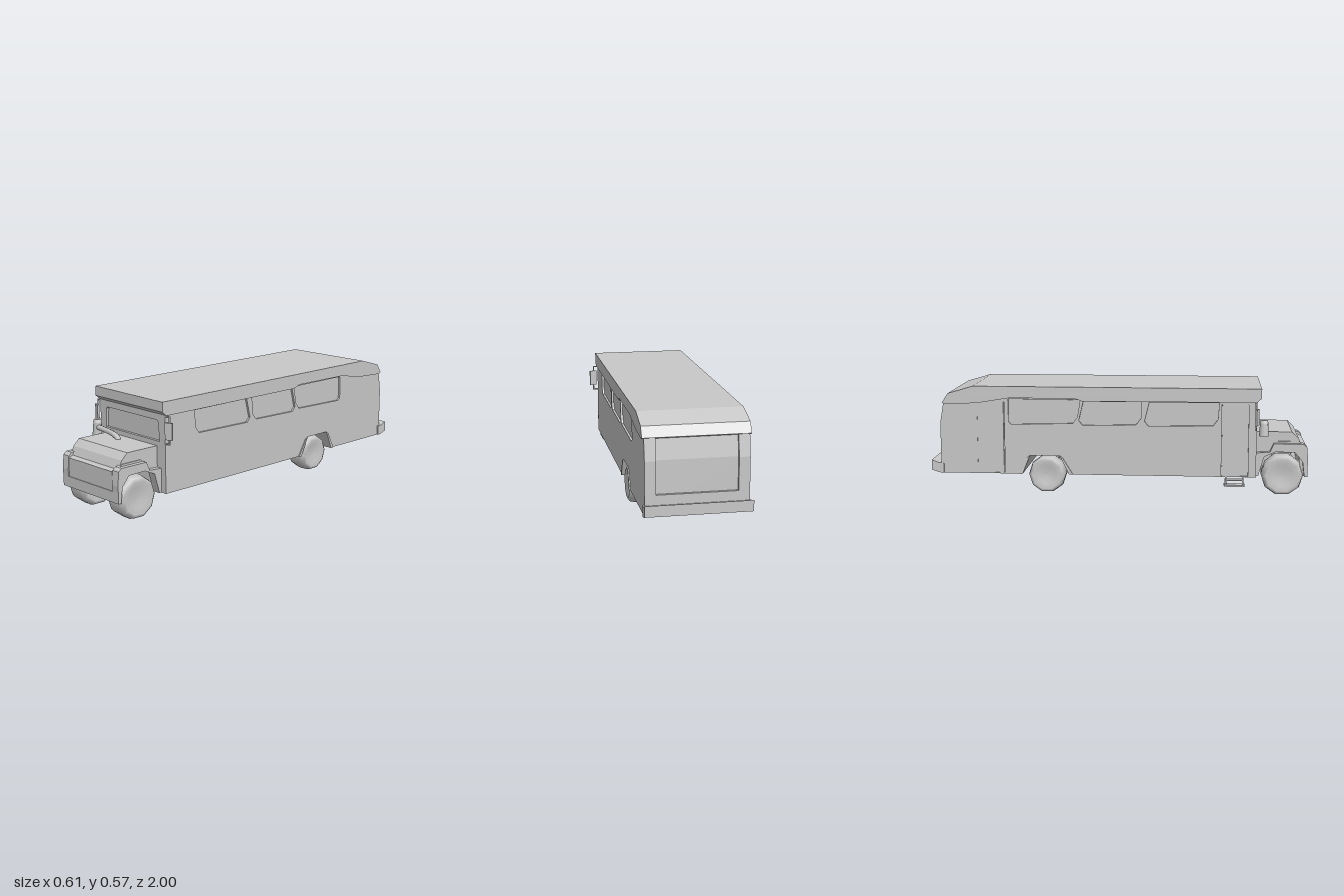
import * as THREE from 'three';

const grey = new THREE.MeshStandardMaterial({ color: 0xc8c8c8 });
grey.name = 'body grey';
const CX = 0.009; // the body's own centre line

export function createModel() {
  const model = new THREE.Group();
  model.name = 'bus';

  const add = (name, geometry, x = 0, y = 0, z = 0) => {
    const mesh = new THREE.Mesh(geometry, grey);
    mesh.name = name;
    mesh.position.set(x, y, z);
    model.add(mesh);
    return mesh;
  };
  const toShape = (pts) => new THREE.Shape(pts.map((p) => new THREE.Vector2(...p)));
  // extrudes a side profile of [z, y] points from x0 to x1
  const side = (name, pts, x0, x1, holes = []) => {
    const shape = toShape(pts);
    shape.holes = holes.map(toShape);
    const g = new THREE.ExtrudeGeometry(shape, { depth: x1 - x0, bevelEnabled: false });
    g.rotateY(-Math.PI / 2);
    g.translate(x1, 0, 0);
    return add(name, g);
  };
  const box = (name, x0, x1, y0, y1, z0, z1) => add(name,
    new THREE.BoxGeometry(x1 - x0, y1 - y0, z1 - z0), (x0 + x1) / 2, (y0 + y1) / 2, (z0 + z1) / 2);
  // round bar between two points
  const bar = (name, a, b, r, sides = 8) => {
    const p = new THREE.Vector3(...a), q = new THREE.Vector3(...b);
    const d = q.clone().sub(p);
    const m = add(name, new THREE.CylinderGeometry(r, r, d.length(), sides));
    m.position.copy(p.add(q).multiplyScalar(0.5));
    m.quaternion.setFromUnitVectors(new THREE.Vector3(0, 1, 0), d.normalize());
    return m;
  };

  // body core with the rear wheel arch cut across it
  const arch = [[-0.51, 0.11], [-0.47, 0.21], [-0.31, 0.21], [-0.26, 0.11]];
  side('bodyCore', [[-0.935, 0.11], ...arch, [0.712, 0.11], [0.712, 0.51],
    [-0.7, 0.51], [-0.915, 0.495], [-0.935, 0.38]], -0.234, 0.252);

  // side skins with window and door openings
  const skin = [[-0.95, 0.11], ...arch, [0.727, 0.11], [0.727, 0.515], [-0.2, 0.52],
    [-0.6, 0.52], [-0.75, 0.5], [-0.93, 0.495], [-0.95, 0.38]];
  const pane = (front, back, top) => [[front, top], [front - 0.005, 0.415], [front - 0.03, 0.382],
    [back + 0.02, 0.376], [back, 0.4], [back + 0.025, top]];
  const windows = [pane(0.53, 0.14, 0.503), pane(0.125, -0.208, 0.503),
    [[-0.2, 0.512], [-0.215, 0.42], [-0.24, 0.385], [-0.57, 0.377], [-0.583, 0.39], [-0.583, 0.512]]];
  const doorway = (z0, z1) => [[z0, 0.115], [z1, 0.115], [z1, 0.495], [z0, 0.495]];
  side('leftWall', skin, 0.252, 0.263, windows);
  side('rightWall', skin, -0.245, -0.234, [...windows, doorway(0.545, 0.685), doorway(-0.75, -0.605)]);
  box('frontDoorPanel', -0.24, -0.234, 0.115, 0.495, 0.548, 0.682);
  box('rearDoorPanel', -0.243, -0.234, 0.115, 0.495, -0.75, -0.61);

  // flared lips around the rear arches
  const lip = [[-0.53, 0.11], [-0.485, 0.2], [-0.47, 0.21], [-0.51, 0.11]];
  const lipFront = [[-0.24, 0.11], [-0.295, 0.2], [-0.31, 0.21], [-0.26, 0.11]];
  for (const [x0, x1] of [[-0.251, -0.245], [0.263, 0.269]]) {
    side('archLip', lip, x0, x1);
    side('archLip', lipFront, x0, x1);
  }

  // front wall around the windscreen
  const front = toShape([[-0.245, 0.11], [0.263, 0.11], [0.263, 0.515], [-0.245, 0.515]]);
  front.holes.push(toShape([[-0.202, 0.37], [0.22, 0.37], [0.212, 0.465], [0.205, 0.476],
    [-0.188, 0.476], [-0.196, 0.465]]));
  add('frontWall', new THREE.ExtrudeGeometry(front, { depth: 0.015, bevelEnabled: false }), 0, 0, 0.712);

  // rear wall frame
  const post = [[-0.935, 0.11], [-0.95, 0.11], [-0.95, 0.38], [-0.93, 0.495], [-0.91, 0.495], [-0.935, 0.38]];
  side('rearPost', post, -0.234, -0.19);
  side('rearPost', post, 0.208, 0.252);
  box('rearSill', -0.19, 0.208, 0.11, 0.215, -0.95, -0.935);
  side('rearBumper', [[-0.935, 0.11], [-0.935, 0.165], [-0.96, 0.165], [-1, 0.18], [-1, 0.125], [-0.95, 0.11]],
    -0.253, 0.271);

  // overhanging roof with a sloped tail
  side('roof', [[0.75, 0.58], [-0.77, 0.58], [-0.905, 0.54], [-0.937, 0.49], [-0.92, 0.482], [-0.75, 0.49],
    [-0.58, 0.518], [-0.23, 0.52], [-0.19, 0.505], [0.725, 0.508], [0.75, 0.53]], -0.253, 0.273);

  // hood, nose and fenders
  side('hood', [[0.72, 0.345], [0.915, 0.345], [0.95, 0.312], [0.968, 0.27], [0.99, 0.262], [0.99, 0.11],
    [0.965, 0.11], [0.95, 0.235], [0.72, 0.235]], -0.185, 0.2);
  box('grille', -0.168, 0.18, 0.165, 0.262, 0.985, 0.994);
  box('frontBumper', -0.214, 0.23, 0.11, 0.165, 0.985, 0.998);
  const fender = [[0.725, 0.235], [0.8, 0.24], [0.82, 0.285], [0.975, 0.285], [0.993, 0.27], [1, 0.2],
    [0.995, 0.11], [0.982, 0.11], [0.972, 0.19], [0.93, 0.24], [0.83, 0.242], [0.77, 0.215], [0.74, 0.11],
    [0.725, 0.11]];
  const fenderTop = [[0.82, 0.28], [0.835, 0.295], [0.95, 0.295], [0.975, 0.28]];
  for (const [x0, x1, t0, t1] of [[-0.214, -0.169, -0.19, -0.169], [0.183, 0.23, 0.183, 0.205]]) {
    side('fender', fender, x0, x1);
    side('fenderTop', fenderTop, t0, t1);
  }

  // wheels: rounded low-poly tyres
  const wheel = (name, x, y, z, r, w) => {
    const profile = [[0, -0.38], [0.5, -0.4], [0.78, -0.5], [0.94, -0.42], [1, -0.2], [1, 0.2],
      [0.94, 0.42], [0.78, 0.5], [0.5, 0.4], [0, 0.38]];
    const g = new THREE.LatheGeometry(profile.map(([a, b]) => new THREE.Vector2(a * r, b * w)), 10);
    g.rotateZ(-Math.PI / 2);
    add(name, g, x, y, z);
  };
  for (const s of [-1, 1]) {
    wheel('frontWheel', CX + s * 0.157, 0.112, 0.868, 0.112, 0.124);
    wheel('rearWheel', CX + s * 0.19, 0.103, -0.382, 0.1, 0.12);
  }

  // axles and their braces
  for (const [z, y, half, top] of [[0.868, 0.09, 0.11, 0.24], [-0.382, 0.095, 0.14, 0.215]]) {
    bar('axle', [CX - half, y, z], [CX + half, y, z], 0.013);
    for (const s of [-1, 1]) {
      bar('brace', [CX + s * 0.07, y, z], [CX + s * 0.07, top, z - 0.06], 0.007, 6);
      bar('brace', [CX + s * 0.07, y, z], [CX + s * 0.07, top, z + 0.06], 0.007, 6);
    }
  }

  // mirrors on bracket arms
  for (const s of [-1, 1]) {
    const x = CX + s * 0.28, wall = CX + s * 0.25;
    const [a, b] = [Math.min(x, wall), Math.max(x, wall)];
    for (const y of [0.365, 0.503]) box('mirrorArm', a - 0.003, b + 0.003, y - 0.003, y + 0.003, 0.717, 0.725);
    box('mirrorRod', x - 0.003, x + 0.003, 0.365, 0.503, 0.717, 0.725);
    const m = box('mirror', x - 0.02 + s * 0.002, x + 0.02 + s * 0.002, 0.39, 0.476, 0.722, 0.732);
    m.rotation.y = s * 0.35;
  }

  // air intake: pipe over the hood with a capped canister
  const path = new THREE.CatmullRomCurve3([[-0.21, 0.372, 0.77], [-0.13, 0.368, 0.775],
    [-0.06, 0.362, 0.785], [-0.035, 0.35, 0.785], [-0.032, 0.335, 0.785]].map((p) => new THREE.Vector3(...p)));
  add('intakePipe', new THREE.TubeGeometry(path, 14, 0.014, 8));
  const canister = add('intakeCanister', new THREE.CylinderGeometry(0.021, 0.025, 0.07, 10), -0.227, 0.363, 0.765);
  canister.rotation.z = -0.06;
  add('intakeCap', new THREE.CylinderGeometry(0.018, 0.024, 0.016, 10), -0.224, 0.405, 0.765);

  // entry step below the front door
  box('stepTread', -0.275, -0.228, 0.064, 0.073, 0.56, 0.668);
  box('stepUpperTread', -0.26, -0.228, 0.092, 0.098, 0.565, 0.663);
  for (const z of [0.565, 0.655]) {
    box('stepBracket', -0.26, -0.254, 0.07, 0.095, z, z + 0.008);
    box('stepHanger', -0.238, -0.23, 0.07, 0.112, z, z + 0.008);
  }

  return model;
}
